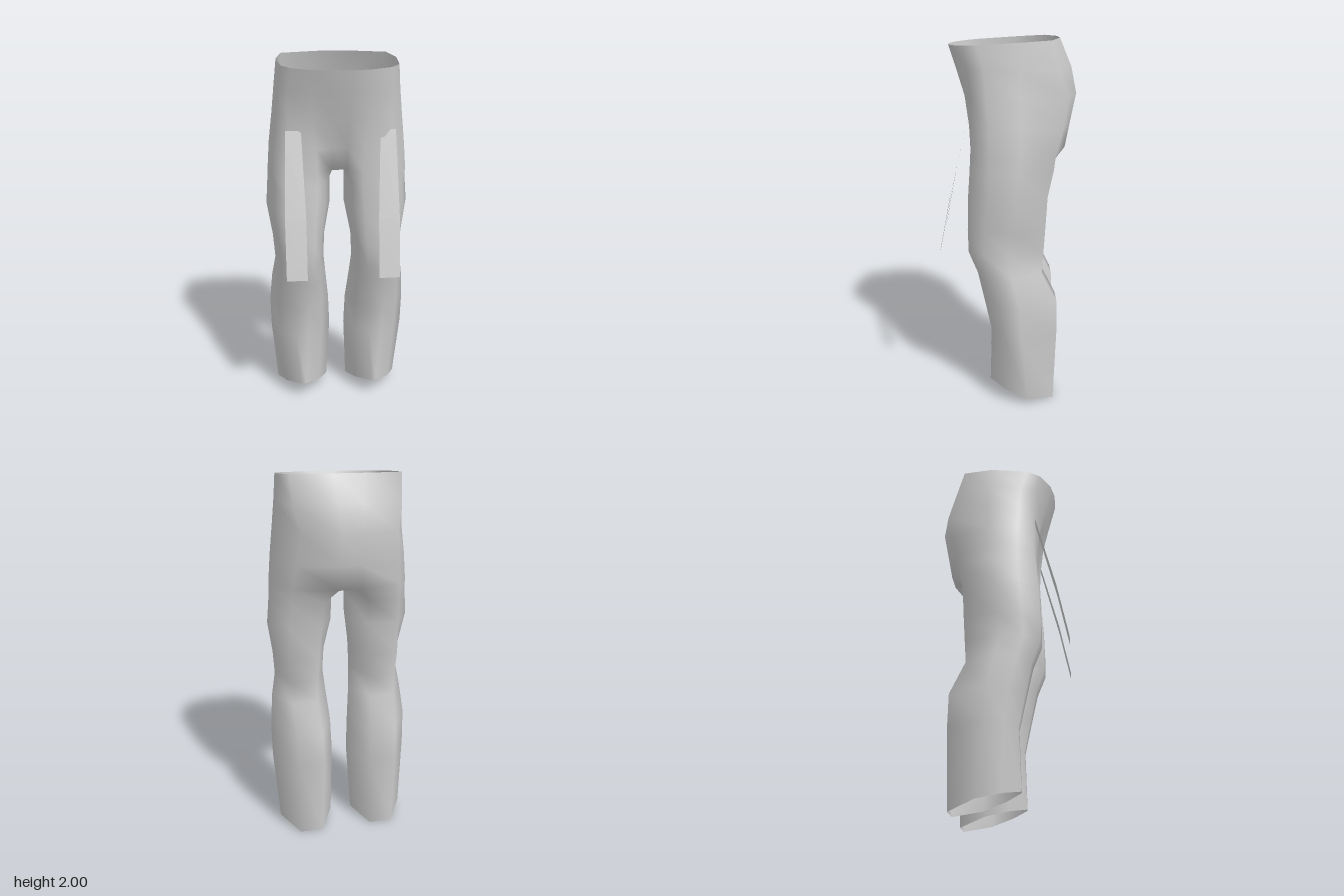
import * as THREE from 'three';

const cloth = new THREE.MeshStandardMaterial({ color: 0xcccccc, side: THREE.DoubleSide });
cloth.name = 'greyCloth';

// Pelvis half sections: y, then x,z from the front centre round the side to the back centre
const PELVIS = [
  [1.982, .06, .31, .15, .29, .25, .235, .30, .16, .32, -.05, .29, -.215, .09, -.27],
  [1.85, .05, .275, .15, .26, .27, .205, .315, .12, .335, -.06, .28, -.26, .07, -.335],
  [1.71, .045, .225, .15, .225, .27, .19, .33, .11, .35, -.06, .25, -.31, .06, -.365],
  [1.55, .04, .17, .13, .205, .28, .19, .348, .10, .37, -.06, .27, -.28, .055, -.335],
  [1.42, .04, .12, .12, .20, .29, .19, .358, .10, .38, -.06, .29, -.245, .06, -.31],
];

// Leg sections: y, slope, inner x, outer x, front z, back z, front pair x, side z, back pair x
const LEG = [
  [1.34, 0, .04, .385, .20, -.235, .12, .29, -.05, .12, .29],
  [1.20, 0, .04, .395, .21, -.205, .13, .29, -.04, .13, .30],
  [1.02, 0, .075, .365, .215, -.195, .14, .28, -.01, .14, .30],
  [.89, 0, .08, .355, .212, -.188, .15, .27, 0, .15, .29],
  [.77, 0, .068, .377, .165, -.18, .16, .26, -.02, .15, .29],
  [.60, 0, .05, .393, .128, -.265, .17, .255, -.06, .14, .28],
  [.42, 0, .043, .39, .09, -.268, .18, .25, -.07, .13, .28],
  [.072, .28, .06, .36, .10, -.255, .195, .225, -.11, .14, .27],
];

const mix = THREE.MathUtils.lerp;

function pelvisRing(row, i) {
  const ring = [];
  for (let k = 1; k < row.length; k += 2) {
    const y = row[0] - (i === 0 ? .06 * row[k + 1] : 0);
    ring.push([row[k], y, row[k + 1]]);
  }
  // The last ring gains the inner thigh point
  if (i === PELVIS.length - 1) ring.push([.04, 1.42, -.08]);
  return ring;
}

function legRing([y, slope, xi, xo, zf, zb, fi, fo, zm, bi, bo]) {
  return [
    [mix(xi, fi, .38), mix(zm, zf, .6)], [fi, zf], [fo, zf],
    [mix(xo, fo, .38), mix(zm, zf, .6)], [xo, zm], [bo, zb], [bi, zb], [xi, zm],
  ].map(([x, z]) => [x, y + slope * z, z]);
}

function trouserGeometry() {
  const rings = [...PELVIS.map(pelvisRing), ...LEG.map(legRing)];
  const crotch = PELVIS.length - 1;
  const pos = [], index = [];
  // Index of a point by side, ring and column
  const ids = [1, -1].map(s => rings.map(ring => ring.map(([x, y, z]) => {
    pos.push(s * x, y, z);
    return pos.length / 3 - 1;
  })));
  const quad = (a, b, c, d) => index.push(a, b, c, a, c, d);
  const [L, R] = ids;

  // Both halves: open rings on the pelvis, closed rings on the legs
  for (let r = 0; r < rings.length - 1; r++) {
    const onLeg = r >= crotch;
    for (let c = 0; c < (onLeg ? 8 : 6); c++) {
      const n = (c + 1) % 8;
      quad(L[r][c], L[r + 1][c], L[r + 1][n], L[r][n]);
      quad(R[r][n], R[r + 1][n], R[r + 1][c], R[r][c]);
    }
    // Centre strips, front and back
    if (!onLeg) {
      quad(R[r][0], R[r + 1][0], L[r + 1][0], L[r][0]);
      quad(L[r][6], L[r + 1][6], R[r + 1][6], R[r][6]);
    }
  }
  // Crotch strip
  for (const [f, b] of [[0, 7], [7, 6]])
    quad(R[crotch][f], R[crotch][b], L[crotch][b], L[crotch][f]);

  return finish(pos, index);
}

// Hanging strip: a thin sheet with one bend
function strapGeometry(side) {
  const pos = [], index = [];
  const rows = [[1.65, .205, .285, .195], [1.2, .19, .30, .305], [.89, .19, .30, .365]];
  for (const [y, xa, xb, z] of rows) {
    const xs = side > 0 ? [xa, xb] : [-xb, -xa];
    for (const x of xs) pos.push(x, y, z);
  }
  for (const a of [0, 2]) index.push(a, a + 2, a + 3, a, a + 3, a + 1);
  return finish(pos, index);
}

function finish(pos, index) {
  const g = new THREE.BufferGeometry();
  g.setAttribute('position', new THREE.Float32BufferAttribute(pos, 3));
  g.setIndex(index);
  g.computeVertexNormals();
  return g;
}

export function createModel() {
  const group = new THREE.Group();
  group.name = 'trousers';
  const add = (name, geometry) => {
    const mesh = new THREE.Mesh(geometry, cloth);
    mesh.name = name;
    group.add(mesh);
  };
  add('trouserShell', trouserGeometry());
  add('leftStrap', strapGeometry(1));
  add('rightStrap', strapGeometry(-1));
  return group;
}
